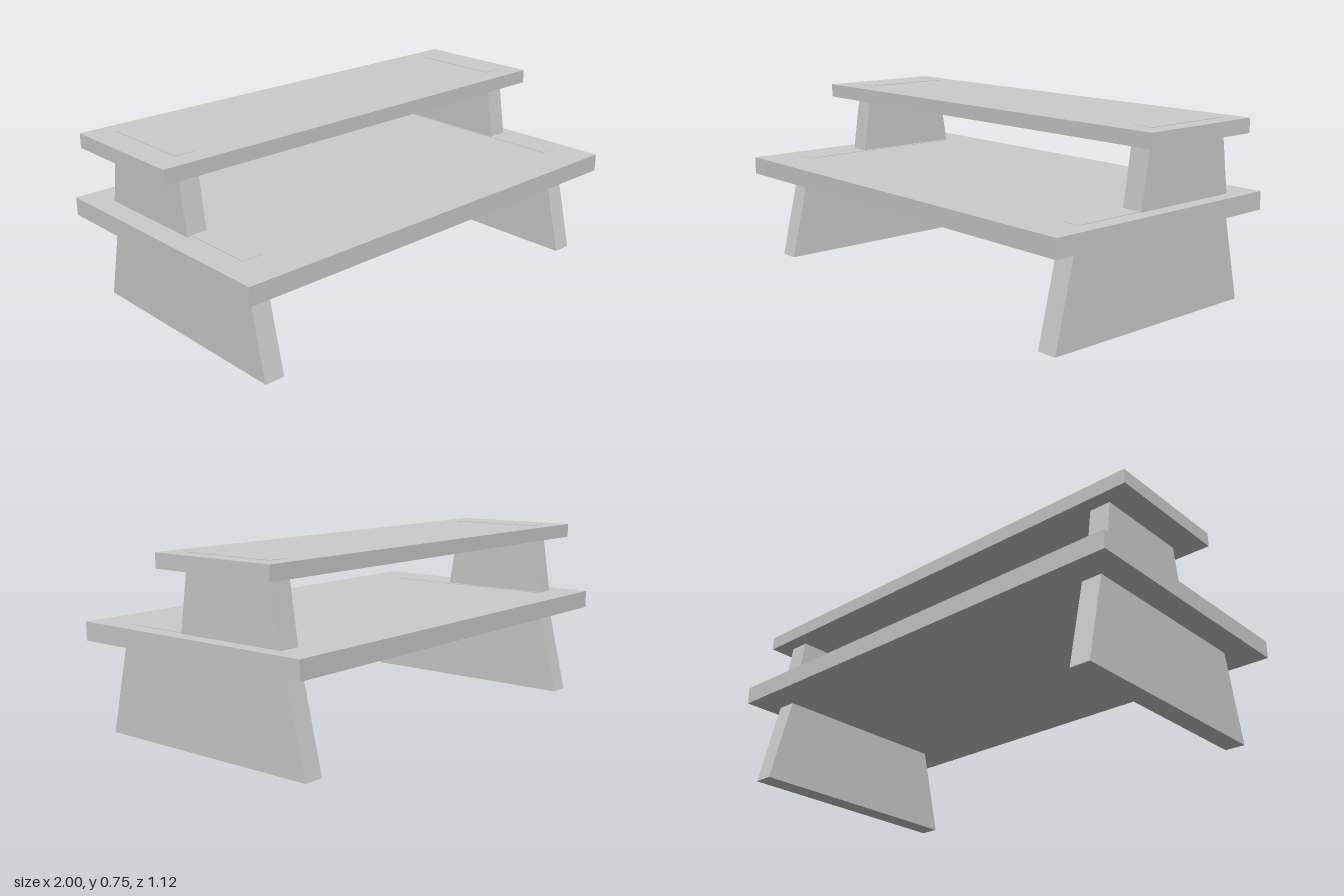
import * as THREE from 'three';

const material = new THREE.MeshStandardMaterial({ color: 0xcccccc, flatShading: true });

// Flat board given by its extents on each axis
function board(name, [x0, x1], [y0, y1], [z0, z1]) {
  const mesh = new THREE.Mesh(new THREE.BoxGeometry(x1 - x0, y1 - y0, z1 - z0), material);
  mesh.position.set((x0 + x1) / 2, (y0 + y1) / 2, (z0 + z1) / 2);
  mesh.name = name;
  return mesh;
}

// Tapered panel: a trapezoid in the z-y plane, extruded along x
function panel(name, [x0, x1], [y0, y1], [backBottom, frontBottom], [backTop, frontTop]) {
  const shape = new THREE.Shape([
    new THREE.Vector2(-frontBottom, y0),
    new THREE.Vector2(-backBottom, y0),
    new THREE.Vector2(-backTop, y1),
    new THREE.Vector2(-frontTop, y1),
  ]);
  const geometry = new THREE.ExtrudeGeometry(shape, { depth: x1 - x0, bevelEnabled: false });
  geometry.rotateY(Math.PI / 2); // shape x becomes -z, depth becomes +x
  geometry.translate(x0, 0, 0);
  const mesh = new THREE.Mesh(geometry, material);
  mesh.name = name;
  return mesh;
}

export function createModel() {
  const group = new THREE.Group();
  group.name = 'tieredBench';

  // Two horizontal boards
  group.add(board('lowerBoard', [-0.98, 0.985], [0.372, 0.447], [-0.56, 0.56]));
  group.add(board('upperBoard', [-1, 1], [0.69, 0.749], [-0.445, 0.12]));

  // Lower legs, their tops just showing through the lower board
  for (const [name, x] of [['rightLowerLeg', [-0.87, -0.785]], ['leftLowerLeg', [0.833, 0.917]]]) {
    group.add(panel(name, x, [0, 0.449], [-0.52, 0.493], [-0.413, 0.385]));
  }

  // Upper supports, their tops just showing through the upper board
  for (const [name, x] of [['rightUpperSupport', [-0.888, -0.8]], ['leftUpperSupport', [0.838, 0.926]]]) {
    group.add(panel(name, x, [0.446, 0.751], [-0.42, 0.077], [-0.373, 0.03]));
  }

  return group;
}
